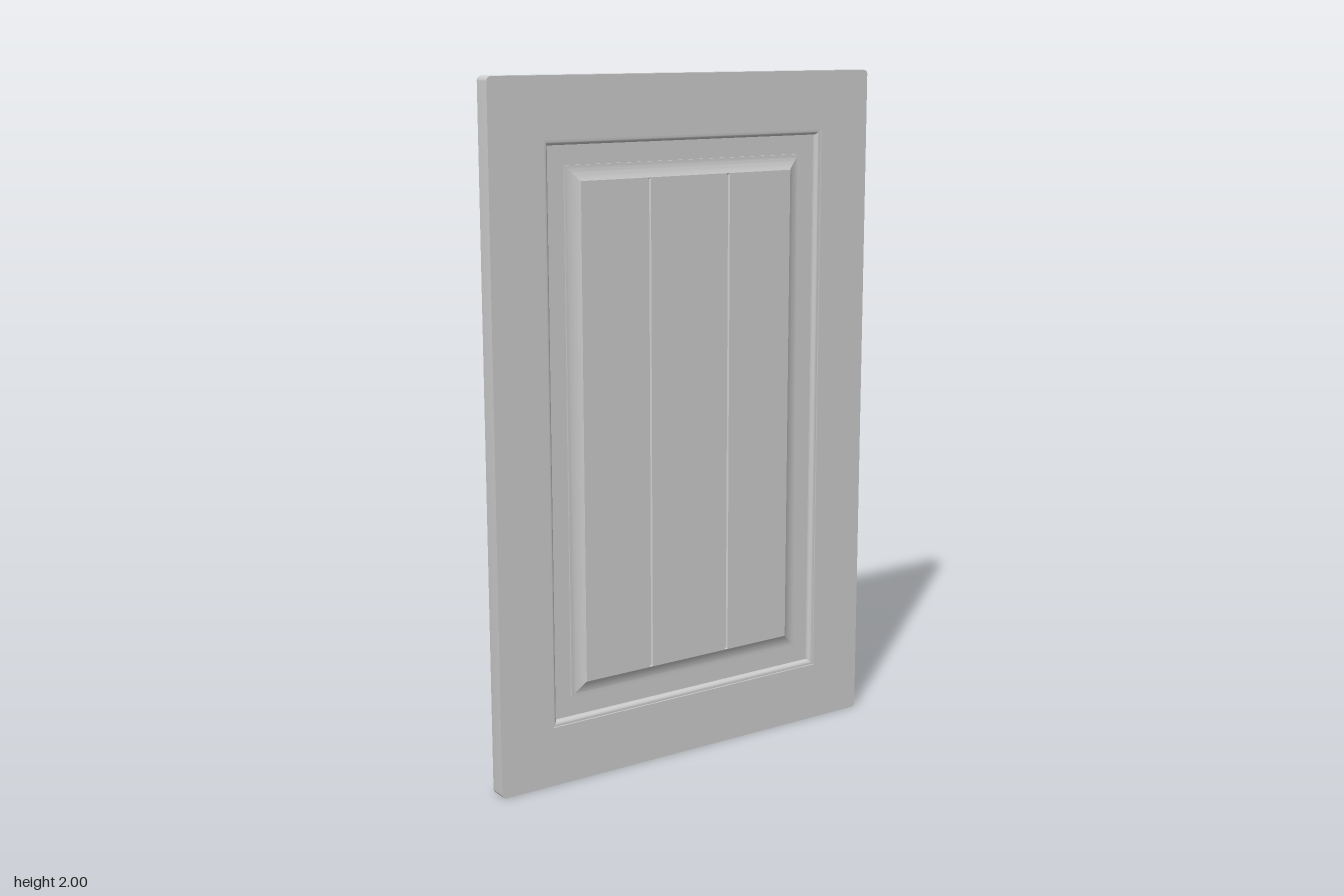
import * as THREE from 'three';
import { toCreasedNormals } from 'three/addons/utils/BufferGeometryUtils.js';

const W = 1.28, H = 2, FRONT = 0.026, FLOOR = 0.005, FIELD = 0.024;
const material = new THREE.MeshStandardMaterial({ color: 0xcccccc });

// counter-clockwise rectangle shrunk by an inset
const rect = ([x0, y0, x1, y1], d = 0) => [
  new THREE.Vector2(x0 + d, y0 + d), new THREE.Vector2(x1 - d, y0 + d),
  new THREE.Vector2(x1 - d, y1 - d), new THREE.Vector2(x0 + d, y1 - d),
];

// skin between closed loops of points, each loop at its own z
function loft(rings, crease) {
  const pos = [];
  for (let r = 0; r < rings.length - 1; r++) {
    const [p, zp] = rings[r], [q, zq] = rings[r + 1];
    for (let i = 0; i < p.length; i++) {
      const j = (i + 1) % p.length;
      const a = [p[i].x, p[i].y, zp], b = [p[j].x, p[j].y, zp];
      const c = [q[j].x, q[j].y, zq], d = [q[i].x, q[i].y, zq];
      pos.push(...a, ...b, ...c, ...a, ...c, ...d);
    }
  }
  const geo = new THREE.BufferGeometry();
  geo.setAttribute('position', new THREE.Float32BufferAttribute(pos, 3));
  geo.computeVertexNormals();
  return toCreasedNormals(geo, crease);
}

// flat face at height z with optional holes
function face(points, z, holes = []) {
  const shape = new THREE.Shape(points);
  shape.holes = holes.map((h) => new THREE.Path(h));
  return new THREE.ShapeGeometry(shape).translate(0, 0, z);
}

// door outline with slightly rounded corners
function outline(r) {
  const pts = [];
  const corners = [[W / 2 - r, r, -90], [W / 2 - r, H - r, 0], [r - W / 2, H - r, 90], [r - W / 2, r, 180]];
  for (const [cx, cy, start] of corners) {
    for (let k = 0; k <= 6; k++) {
      const t = THREE.MathUtils.degToRad(start + k * 15);
      pts.push(new THREE.Vector2(cx + r * Math.cos(t), cy + r * Math.sin(t)));
    }
  }
  return pts;
}

export function createModel() {
  const group = new THREE.Group();
  const add = (name, geo) => {
    const mesh = new THREE.Mesh(geo, material);
    mesh.name = name;
    group.add(mesh);
    return mesh;
  };

  const edge = outline(0.013);
  const opening = [-0.47, 0.175, 0.47, 1.83];
  const raised = [-0.4, 0.247, 0.4, 1.76];

  // slab: back, rim and front frame
  add('back', face(edge, 0).rotateY(Math.PI).translate(0, 0, -FRONT));
  add('rim', loft([[edge, -FRONT], [edge, FRONT]], 0.5));
  add('frame', face(edge, FRONT, [rect(opening)]));

  // moulded inner edge of the frame: small step, quarter round, drop to floor
  const moulding = [[rect(opening), FRONT], [rect(opening), FRONT - 0.005]];
  for (let k = 0; k <= 6; k++) {
    const t = (k / 6) * Math.PI / 2;
    moulding.push([rect(opening, 0.003 + 0.012 * Math.sin(t)), FRONT - 0.017 + 0.012 * Math.cos(t)]);
  }
  moulding.push([rect(opening, 0.015), FLOOR]);
  add('frameMoulding', loft(moulding, 0.4));

  // sunken floor around the raised panel
  add('recessFloor', face(rect(opening, 0.015), FLOOR, [rect(raised)]));

  // raised panel: low step, then a cove rising to the field
  const cove = [[rect(raised), FLOOR], [rect(raised), FLOOR + 0.006]];
  const bevel = 0.043, low = FLOOR + 0.006;
  for (let k = 1; k <= 8; k++) {
    const t = k / 8;
    cove.push([rect(raised, bevel * t), low + (FIELD - low) * t * t]);
  }
  add('panelBevel', loft(cove, 0.2));

  // panel field with two vertical grooves
  const grooves = [-0.135, 0.135].map((x) => [x - 0.005, raised[1] + bevel + 0.001, x + 0.005, raised[3] - bevel - 0.001]);
  add('panelField', face(rect(raised, bevel), FIELD, grooves.map((g) => rect(g))));
  for (const g of grooves) {
    add('groove', loft([[rect(g), FIELD], [rect(g, 0.003), FIELD - 0.005]], 0.1));
    add('grooveBottom', face(rect(g, 0.003), FIELD - 0.005));
  }
  return group;
}
